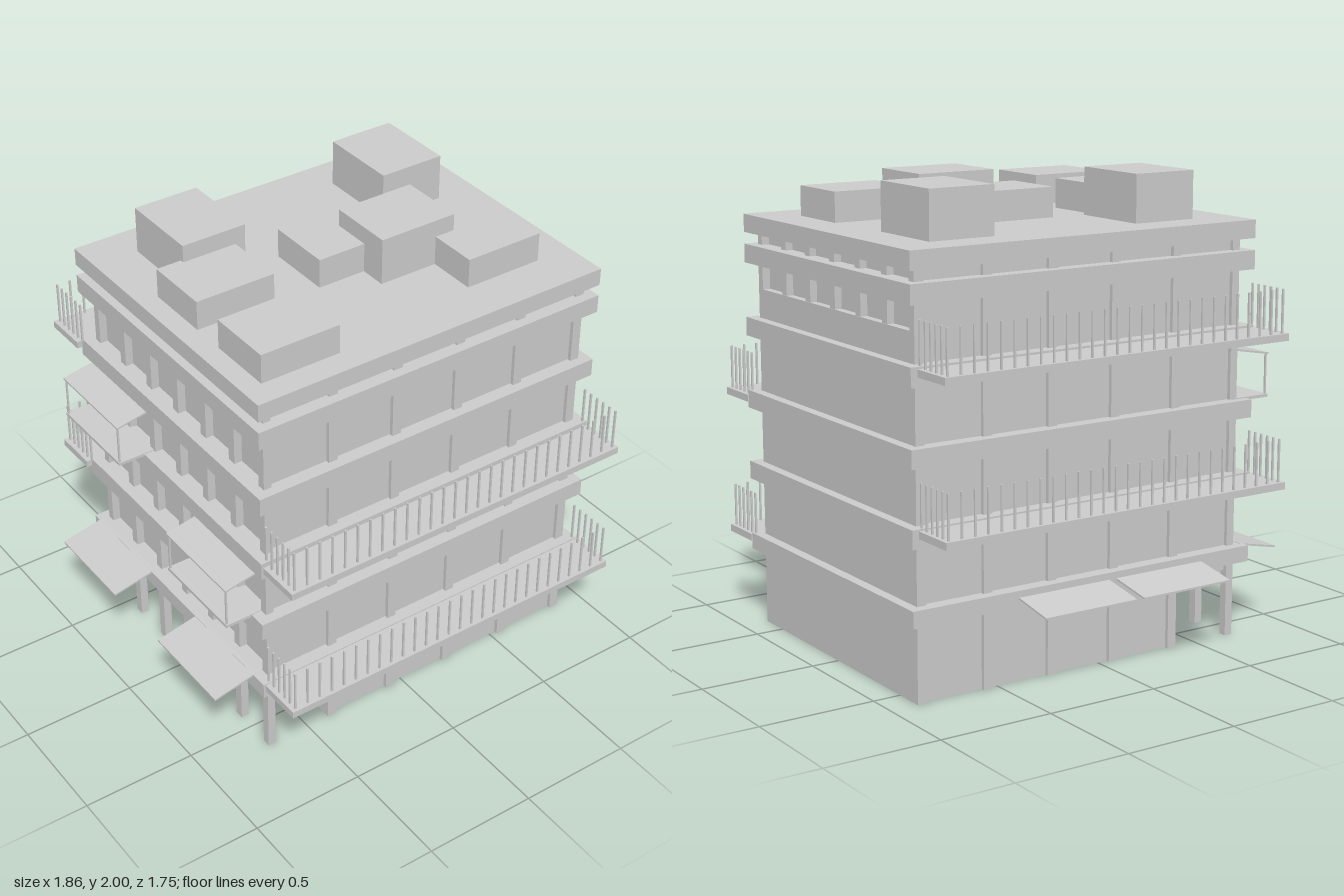
import * as THREE from 'three';

const material = new THREE.MeshStandardMaterial({ color: 0xcccccc, flatShading: true });

// Box given by its min and max on each axis
function box(parent, name, x0, x1, y0, y1, z0, z1) {
  const mesh = new THREE.Mesh(new THREE.BoxGeometry(x1 - x0, y1 - y0, z1 - z0), material);
  mesh.position.set((x0 + x1) / 2, (y0 + y1) / 2, (z0 + z1) / 2);
  mesh.name = name;
  parent.add(mesh);
  return mesh;
}

function subgroup(parent, name) {
  const group = new THREE.Group();
  group.name = name;
  parent.add(group);
  return group;
}

// Thin sloping sheet: profile runs outward from (0, yIn) to (depth, yOut)
function awning(parent, width, depth, yIn, yOut) {
  const t = 0.008;
  const shape = new THREE.Shape([
    new THREE.Vector2(0, yIn - t), new THREE.Vector2(depth, yOut - t),
    new THREE.Vector2(depth, yOut), new THREE.Vector2(0, yIn),
  ]);
  const geometry = new THREE.ExtrudeGeometry(shape, { depth: width, bevelEnabled: false });
  geometry.translate(0, 0, -width / 2);
  const mesh = new THREE.Mesh(geometry, material);
  mesh.name = 'awning';
  parent.add(mesh);
  return mesh;
}

// Long balcony with railing posts; side is +1 for front, -1 for back
function longBalcony(parent, name, x0, x1, y, side) {
  const g = subgroup(parent, name);
  const zs = [0.675 * side, 0.877 * side].sort((a, b) => a - b);
  box(g, 'balconyFloor', x0, x1, y, y + 0.031, zs[0], zs[1]);
  const post = (x, z) => box(g, 'railingPost', x - 0.004, x + 0.004, y + 0.03, y + 0.216, z - 0.004, z + 0.004);
  const a = x0 + 0.023, b = x1 - 0.02;
  for (let i = 0; i <= 27; i++) post(a + (b - a) * i / 27, 0.86 * side);
  for (let i = 0; i < 5; i++) {
    const z = (0.668 + i * 0.0385) * side;
    post(a, z);
    post(b, z);
  }
}

export function createModel() {
  const model = new THREE.Group();
  model.name = 'building';

  // Walls: ground floor set back on one side, upper floors overhanging
  box(model, 'groundFloor', -0.395, 0.85, 0, 0.33, -0.62, 0.62);
  box(model, 'upperFloors', -0.665, 0.845, 0.29, 1.79, -0.62, 0.62);
  box(model, 'sideWall', 0.84, 0.879, 0, 1.48, -0.637, 0.637);

  // Projecting floor bands and roof slab
  for (const [y0, y1] of [[0.33, 0.4], [0.645, 0.723], [0.96, 1.037], [1.275, 1.355], [1.59, 1.67], [1.72, 1.797]]) {
    box(model, y1 > 1.7 ? 'roofSlab' : 'floorBand', -0.747, 0.922, y0, y1, -0.68, 0.68);
  }

  // Columns on the front and back
  const columns = subgroup(model, 'columns');
  for (let i = 0; i < 6; i++) {
    const x = -0.682 + i * 0.308;
    const half = i === 0 ? 0.018 : 0.021;
    for (const s of [-1, 1]) {
      box(columns, 'column', x - half, x + half, 0, 1.75, s * 0.619 - 0.018, s * 0.619 + 0.018);
    }
  }
  // Columns along both sides; one row stands free under the overhang
  for (let i = 1; i < 6; i++) {
    const z = -0.617 + i * 0.2057;
    box(columns, 'freeColumn', -0.7, -0.664, 0, 1.75, z - 0.02, z + 0.02);
    box(columns, 'windowColumn', 0.84, 0.876, 1.47, 1.75, z - 0.02, z + 0.02);
  }

  // Long balconies
  for (const y of [0.364, 0.985]) longBalcony(model, 'frontBalcony', -0.737, 0.927, y, 1);
  for (const y of [0.685, 1.315]) longBalcony(model, 'backBalcony', -0.772, 0.893, y, -1);

  // Low awnings on the side and the back
  for (const z of [-0.42, 0.38]) {
    const a = awning(model, 0.444, 0.2, 0.402, 0.36);
    a.rotation.y = Math.PI;
    a.position.set(-0.733, 0, z);
  }
  for (const x of [0.21, -0.27]) {
    const a = awning(model, 0.444, 0.2, 0.373, 0.337);
    a.rotation.y = Math.PI / 2;
    a.position.set(x, 0, -0.67);
  }

  // Small covered balconies on the side, on alternating floors
  for (const [z, y] of [[-0.42, 1.028], [0.38, 0.713]]) {
    const g = subgroup(model, 'coveredBalcony');
    box(g, 'balconyFloor', -0.867, -0.68, y, y + 0.013, z - 0.222, z + 0.222);
    const a = awning(g, 0.444, 0.2, y + 0.229, y + 0.192);
    a.rotation.y = Math.PI;
    a.position.set(-0.667, 0, z);
    for (const s of [-1, 1]) {
      const pz = z + s * 0.212;
      box(g, 'post', -0.863, -0.856, y + 0.01, y + 0.188, pz - 0.004, pz + 0.004);
    }
  }

  // Rooftop units: x0, x1, z0, z1, top
  const units = [
    [-0.545, -0.252, -0.515, -0.152, 2], [0.437, 0.735, -0.515, -0.152, 2],
    [-0.658, -0.298, -0.17, 0.124, 1.925], [-0.658, -0.298, 0.274, 0.569, 1.925],
    [-0.094, 0.27, -0.15, 0.144, 1.925], [0.125, 0.484, -0.032, 0.264, 2],
    [0.393, 0.753, 0.189, 0.483, 1.925],
  ];
  for (const [x0, x1, z0, z1, top] of units) box(model, 'roofUnit', x0, x1, 1.79, top, z0, z1);

  return model;
}
